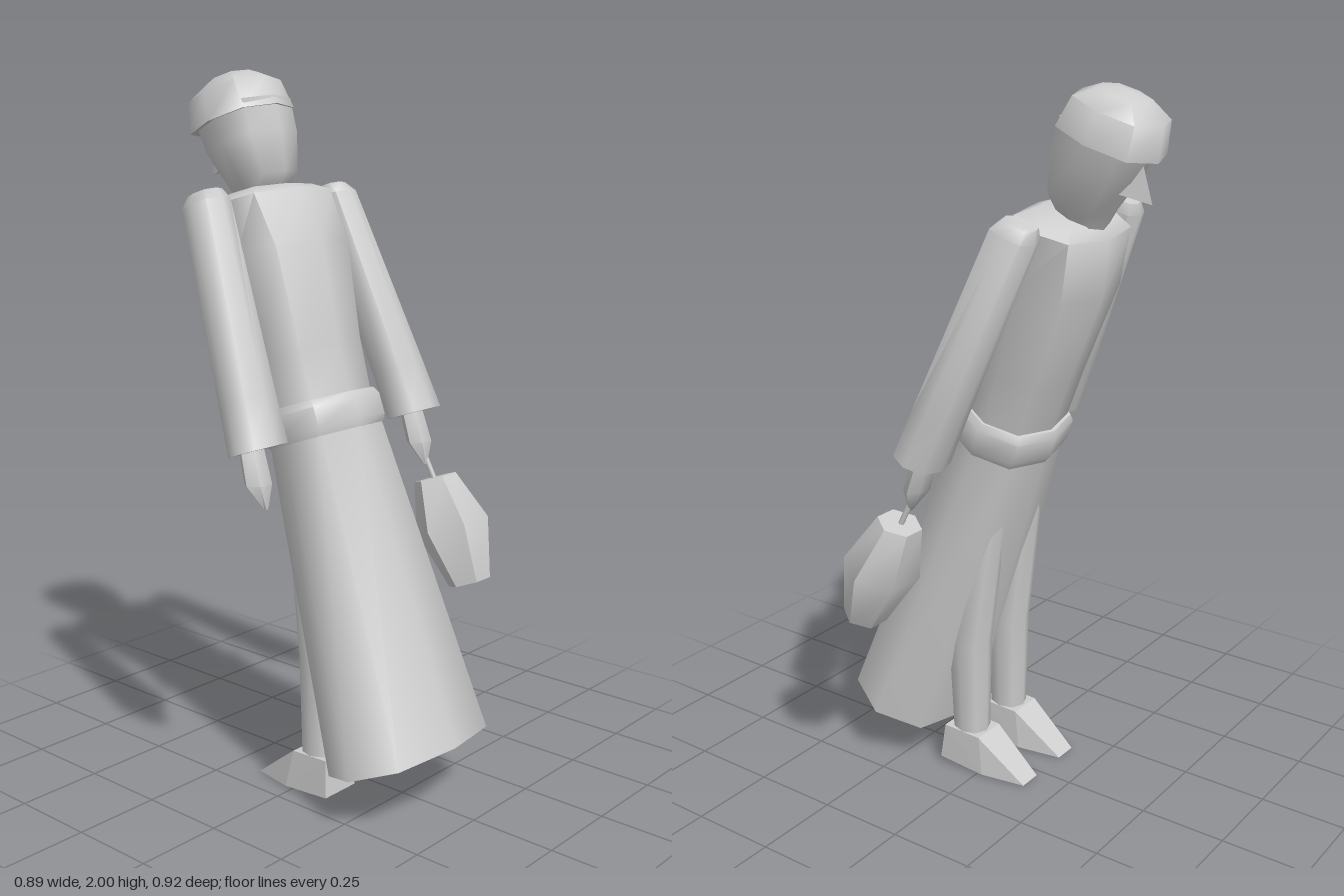
import * as THREE from 'three';
import { toCreasedNormals } from 'three/addons/utils/BufferGeometryUtils.js';
import { ConvexGeometry } from 'three/addons/geometries/ConvexGeometry.js';

// Closed loft through rings [x, y, z, radiusX, radiusZ], listed bottom to top
function loft(rings, sides = 8, power = 0.78, crease = 1.0) {
  const pos = [], index = [];
  const soft = (v) => Math.sign(v) * Math.pow(Math.abs(v), power);
  for (const [x, y, z, rx, rz] of rings) {
    for (let i = 0; i < sides; i++) {
      const a = (i / sides) * Math.PI * 2;
      pos.push(x + rx * soft(Math.cos(a)), y, z + rz * soft(Math.sin(a)));
    }
  }
  const last = rings.length - 1;
  const bottom = pos.length / 3, top = bottom + 1;
  pos.push(...rings[0].slice(0, 3), ...rings[last].slice(0, 3));
  for (let i = 0; i < sides; i++) {
    const n = (i + 1) % sides;
    for (let r = 0; r < last; r++) {
      const a = r * sides + i, b = r * sides + n;
      index.push(a, a + sides, b, b, a + sides, b + sides);
    }
    index.push(bottom, i, n, top, last * sides + n, last * sides + i);
  }
  const g = new THREE.BufferGeometry();
  g.setAttribute('position', new THREE.Float32BufferAttribute(pos, 3));
  g.setIndex(index);
  return toCreasedNormals(g, crease);
}

export function createModel() {
  const grey = new THREE.MeshStandardMaterial({ color: 0xcccccc });
  grey.name = 'plainGrey';

  const model = new THREE.Group();
  model.name = 'robedFigure';
  const figure = new THREE.Group();
  figure.name = 'figure';
  figure.position.x = -0.037;
  model.add(figure);

  // Everything above the legs leans along one axis starting at the hem
  const body = new THREE.Group();
  body.name = 'leaningBody';
  body.position.set(0, 0.155, 0.3);
  body.rotation.x = -0.34;
  figure.add(body);

  const add = (parent, name, geometry) => {
    const mesh = new THREE.Mesh(geometry, grey);
    mesh.name = name;
    parent.add(mesh);
    return mesh;
  };
  const v = (x, y, z) => new THREE.Vector3(x, y, z);

  // Robe
  add(body, 'skirt', loft([
    [0, 0, 0, 0.257, 0.17],
    [0, 0.93, 0, 0.165, 0.128],
  ]));
  add(body, 'belt', loft([
    [0, 0.905, 0, 0.172, 0.133],
    [0, 0.925, 0, 0.18, 0.14],
    [0, 0.985, 0, 0.18, 0.14],
    [0, 1.005, 0, 0.168, 0.128],
  ]));
  add(body, 'torso', loft([
    [0, 0.96, 0, 0.158, 0.118],
    [0, 1.15, 0.004, 0.164, 0.126],
    [0, 1.42, 0.015, 0.19, 0.149],
    [0, 1.575, 0.018, 0.2, 0.116],
    [0, 1.6, 0.018, 0.15, 0.08],
  ]));

  // Head, cap and nose
  add(body, 'head', loft([
    [0, 1.585, -0.01, 0.06, 0.062],
    [0, 1.635, 0.01, 0.09, 0.09],
    [0, 1.745, 0.003, 0.122, 0.118],
    [0, 1.84, 0, 0.125, 0.128],
  ]));
  add(body, 'cap', loft([
    [0, 1.814, -0.013, 0.133, 0.145],
    [0, 1.9, -0.013, 0.12, 0.125],
    [0, 1.936, -0.008, 0.07, 0.068],
    [0, 1.944, -0.005, 0.01, 0.01],
  ]));
  add(body, 'nose', new ConvexGeometry([
    v(0, 1.8, -0.115), v(-0.027, 1.705, -0.09), v(0.027, 1.705, -0.09), v(0, 1.712, -0.18),
  ]));

  for (const [side, s] of [['left', 1], ['right', -1]]) {
    // Sleeve widening to the cuff
    add(body, side + 'Sleeve', loft([
      [s * 0.325, 0.908, 0.056, 0.08, 0.068],
      [s * 0.312, 1.05, 0.05, 0.074, 0.067],
      [s * 0.255, 1.575, 0.026, 0.058, 0.064],
      [s * 0.248, 1.605, 0.024, 0.042, 0.046],
    ]));
    // Hand tapering to the fingertips
    add(figure, side + 'Hand', loft([
      [s * 0.335, 0.88, 0.085, 0.006, 0.006],
      [s * 0.337, 0.945, 0.06, 0.043, 0.034],
      [s * 0.332, 1.06, 0.025, 0.038, 0.03],
    ], 6, 1));
    // Leg showing through the robe
    add(figure, side + 'Leg', loft([
      [s * 0.095, 0.08, 0.06, 0.05, 0.052],
      [s * 0.095, 0.4, 0.064, 0.06, 0.062],
      [s * 0.09, 0.7, 0.018, 0.052, 0.054],
      [s * 0.085, 0.87, -0.02, 0.035, 0.04],
    ], 8, 0.9));
    // Wedge shaped shoe, toe toward -z
    const shoe = [];
    for (const e of [-1, 1]) {
      const x = s * 0.095;
      shoe.push(
        v(x + e * 0.052, 0.12, 0.122), v(x + e * 0.062, 0.015, 0.132),
        v(x + e * 0.052, 0.115, 0), v(x + e * 0.064, 0.005, -0.02),
        v(x + e * 0.035, 0, -0.15));
    }
    add(figure, side + 'Shoe', new ConvexGeometry(shoe));
  }

  // Lantern hanging from the left hand
  add(body, 'lantern', loft([
    [0.368, 0.386, 0.063, 0.066, 0.06],
    [0.366, 0.56, 0.055, 0.117, 0.105],
    [0.35, 0.709, 0.05, 0.066, 0.062],
  ], 6, 1, 0.85));
  add(figure, 'lanternHandle', new THREE.TubeGeometry(
    new THREE.LineCurve3(v(0.337, 0.93, 0.068), v(0.348, 0.835, 0.11)), 1, 0.008, 6));

  return model;
}
